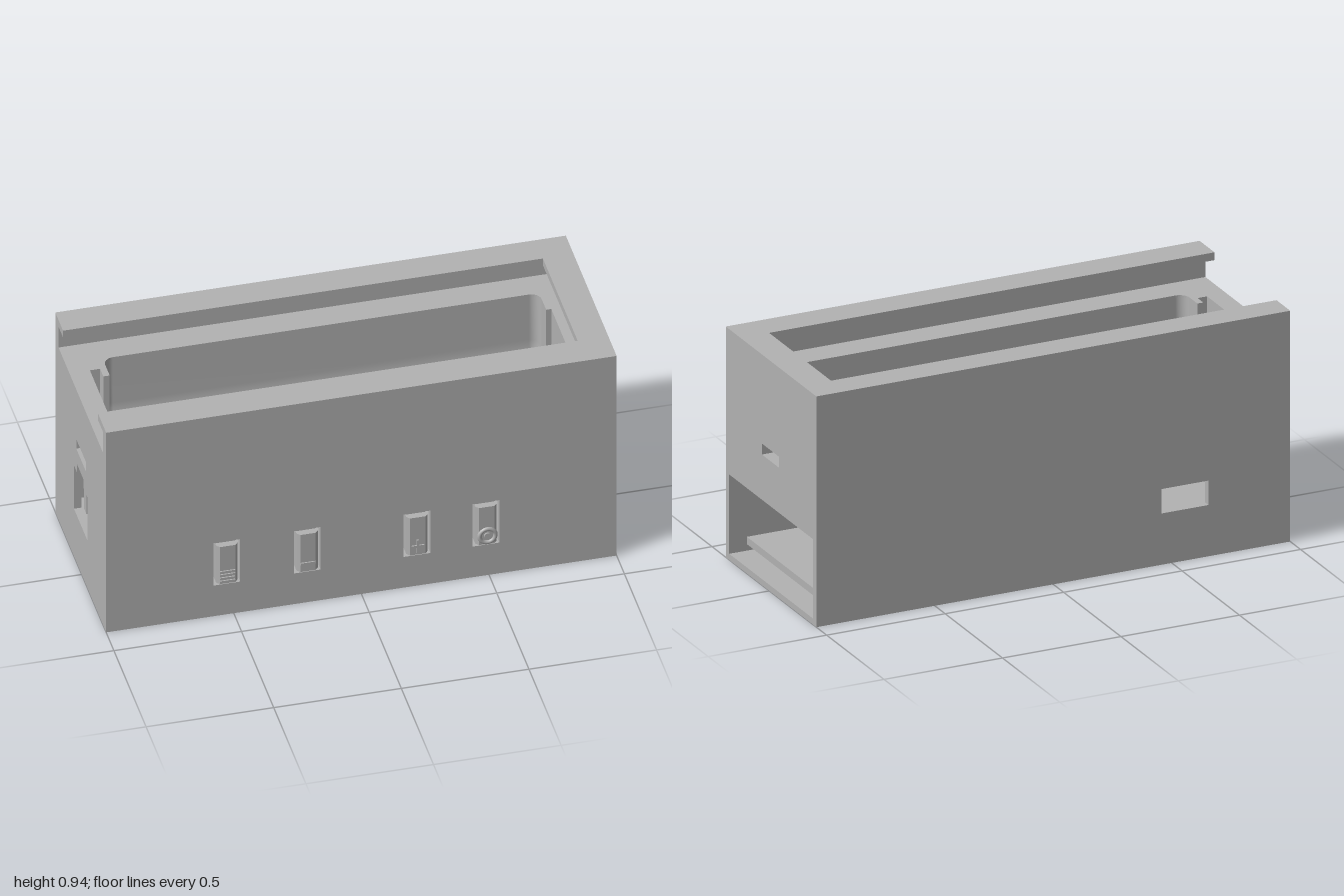
import * as THREE from 'three';

const plastic = new THREE.MeshStandardMaterial({ color: 0xb2b2b2, side: THREE.DoubleSide });
plastic.name = 'grey plastic';

export function createModel() {
  const model = new THREE.Group();
  model.name = 'batteryEnclosure';

  const add = (name, geometry) => {
    const mesh = new THREE.Mesh(geometry, plastic);
    mesh.name = name;
    model.add(mesh);
    return mesh;
  };
  const rect = (a0, a1, b0, b1) => [[a0, b0], [a1, b0], [a1, b1], [a0, b1]];

  // Plate extruded along an axis from lo to hi; points are (z,y), (x,z) or (x,y)
  const plate = (name, axis, lo, hi, outline, holes = []) => {
    const conv = pts => pts.map(([a, b]) => new THREE.Vector2(axis === 'x' ? -a : a, axis === 'y' ? -b : b));
    const shape = new THREE.Shape(conv(outline));
    shape.holes = holes.map(h => new THREE.Path(conv(h)));
    const g = new THREE.ExtrudeGeometry(shape, { depth: hi - lo, bevelEnabled: false });
    if (axis === 'x') g.rotateY(Math.PI / 2).translate(lo, 0, 0);
    else if (axis === 'y') g.rotateX(-Math.PI / 2).translate(0, lo, 0);
    else g.translate(0, 0, lo);
    return add(name, g);
  };
  const block = (name, x0, x1, y0, y1, z0, z1) => plate(name, 'z', z0, z1, rect(x0, x1, y0, y1));

  const H = 0.945, DECK = 0.815, ROOF = 0.35, LIP = 0.913;
  const ZB = -0.38, ZF = 0.35;

  // Long outer walls with button openings and a rear port
  const buttons = [-0.53, -0.215, 0.215, 0.485];
  plate('frontWall', 'z', ZF, 0.38, rect(-1, 1, 0, H), buttons.map(x => rect(x - 0.05, x + 0.055, 0.145, 0.346)));
  plate('backWall', 'z', -0.41, ZB, rect(-1, 1, 0, H), [rect(-0.655, -0.457, 0.21, 0.31)]);

  // Floor with small clip slots
  const clips = [[0.81, -0.265], [0.58, -0.3], [0.68, 0.07]];
  plate('floor', 'y', 0, 0.025, rect(-1, 1, ZB, ZF),
    clips.map(([x, z]) => rect(x - 0.05, x + 0.05, z - 0.035, z + 0.035)));
  clips.forEach(([x, z]) => block('floorClip', x - 0.035, x + 0.035, 0.004, 0.06, z - 0.02, z + 0.02));

  // End walls and the stepped contact pockets
  const slot = rect(-0.085, 0.065, 0.535, 0.58);
  const notched = (z0, z1) => [[ZB, ROOF], [ZF, ROOF], [ZF, DECK], [z1, DECK], [z1, 0.45], [z0, 0.45], [z0, DECK], [ZB, DECK]];
  const port = [[-0.12, 0.225], [0.09, 0.225], [0.09, 0.43], [0.03, 0.43], [0.03, 0.47], [-0.07, 0.47], [-0.07, 0.43], [-0.12, 0.43]];
  plate('rightEndWall', 'x', 0.95, 1, rect(ZB, ZF, ROOF, H), [slot]);
  plate('rightEndBlock', 'x', 0.875, 0.95, rect(ZB, ZF, ROOF, DECK), [slot]);
  plate('rightContactPocket', 'x', 0.855, 0.875, notched(-0.14, 0.1));
  plate('leftContactMouth', 'x', -0.88, -0.855, notched(-0.14, 0.1));
  plate('leftContactPocket', 'x', -0.92, -0.88, notched(-0.19, 0.15));
  plate('leftEndBacking', 'x', -0.93, -0.92, rect(ZB, ZF, ROOF, DECK), [slot]);
  plate('leftPortPocket', 'x', -0.97, -0.93,
    [[ZB, ROOF], [-0.12, ROOF], ...port.slice(2).reverse(), [0.09, ROOF], [ZF, ROOF], [ZF, DECK], [ZB, DECK]], [slot]);
  plate('leftEndWall', 'x', -1, -0.97, rect(ZB, ZF, 0.025, DECK), [slot, port]);

  // Lid groove: side fills and overhanging lips
  block('frontGrooveWall', -1, 0.95, DECK, LIP, 0.33, ZF);
  block('backGrooveWall', -1, 0.95, DECK, LIP, ZB, -0.36);
  block('frontLip', -1, 0.95, LIP, H, 0.25, ZF);
  block('backLip', -1, 0.95, LIP, H, ZB, -0.29);
  block('endLip', 0.88, 0.95, LIP, H, -0.29, 0.25);

  // Stations along the battery trough: x and inset of the rounded ends
  const L = 0.855, R = 0.23, CZ = -0.02, CY = 0.6, fillet = 0.04, stations = [];
  for (let i = 0; i <= 6; i++) {
    const a = i / 6 * Math.PI / 2;
    stations.push([-L + fillet * (1 - Math.cos(a)), fillet * (1 - Math.sin(a))]);
  }
  for (let i = 6; i >= 0; i--) stations.push([-stations[i][0], stations[i][1]]);

  // Deck strips on both sides of the trough
  for (const s of [1, -1]) {
    const zo = s > 0 ? ZF : ZB;
    plate('deck', 'y', DECK - 0.01, DECK,
      [[L, zo], [-L, zo], ...stations.map(([x, d]) => [x, CZ + s * (R - d)])]);
  }

  // Trough skin lofted through U sections
  const N = 32, pos = [], idx = [];
  for (const [x, d] of stations) {
    const r = R - d;
    pos.push(x, DECK, CZ + r);
    for (let j = 0; j <= N; j++) {
      const a = j / N * Math.PI;
      pos.push(x, CY - r * Math.sin(a), CZ + r * Math.cos(a));
    }
    pos.push(x, DECK, CZ - r);
  }
  const row = N + 3;
  for (let i = 0; i < stations.length - 1; i++) {
    for (let j = 0; j < row - 1; j++) {
      const a = i * row + j, b = a + row;
      idx.push(a, b, a + 1, b, b + 1, a + 1);
    }
  }
  const trough = new THREE.BufferGeometry();
  trough.setAttribute('position', new THREE.Float32BufferAttribute(pos, 3));
  trough.setIndex(idx);
  trough.computeVertexNormals();
  add('batteryTrough', trough);
  block('compartmentCeiling', -L, L, ROOF, 0.36, ZB, ZF);

  // Polarity marks that follow the trough floor
  const mark = (name, x0, x1, z0, z1) => {
    const g = new THREE.PlaneGeometry(x1 - x0, z1 - z0, 1, 12).rotateX(-Math.PI / 2);
    g.translate((x0 + x1) / 2, 0, (z0 + z1) / 2);
    const p = g.attributes.position;
    for (let i = 0; i < p.count; i++) p.setY(i, CY - Math.sqrt((R - 0.004) ** 2 - (p.getZ(i) - CZ) ** 2));
    g.computeVertexNormals();
    add(name, g);
  };
  mark('minusMark', -0.66, -0.6, -0.11, 0.08);
  mark('batteryMark', -0.35, 0.3, -0.11, 0.08);
  mark('batteryMarkTip', 0.3, 0.355, -0.065, 0.03);
  mark('plusMarkAcross', 0.505, 0.7, -0.045, 0.012);
  mark('plusMarkDown', 0.57, 0.64, -0.11, 0.08);

  // Circuit tray inside the lower compartment
  block('trayBoard', -0.94, 0.94, 0.065, 0.095, -0.35, 0.32);
  block('traySupport', -0.9, 0.6, 0.025, 0.065, -0.35, 0.32);
  block('clipPost', -0.92, -0.88, 0.025, 0.225, -0.285, -0.245);
  block('clipPostHead', -0.92, -0.88, 0.222, 0.235, -0.29, -0.24);

  // Flexible front buttons with tapered faces
  for (const x of buttons) {
    plate('button', 'y', 0.165, 0.34,
      [[x - 0.042, ZF], [x + 0.042, ZF], [x + 0.042, 0.39], [x + 0.03, 0.403], [x - 0.03, 0.403], [x - 0.042, 0.39]]);
    block('buttonHinge', x - 0.04, x + 0.035, 0.335, 0.346, 0.355, 0.375);
  }
  const raised = (name, x, y, w, h) => block(name, x - w / 2, x + w / 2, y - h / 2, y + h / 2, 0.4, 0.408);
  for (let i = 0; i < 4; i++) raised('menuBar', buttons[0], 0.178 + i * 0.015, 0.058, 0.006);
  raised('minusSign', buttons[1], 0.203, 0.058, 0.01);
  raised('plusSignAcross', buttons[2], 0.205, 0.05, 0.01);
  raised('plusSignDown', buttons[2], 0.205, 0.01, 0.06);
  add('ringSign', new THREE.TorusGeometry(0.031, 0.009, 10, 32).translate(buttons[3] + 0.003, 0.205, 0.402));
  add('ringCentre', new THREE.CylinderGeometry(0.014, 0.014, 0.008, 24).rotateX(Math.PI / 2)
    .translate(buttons[3] + 0.003, 0.205, 0.405));

  return model;
}
